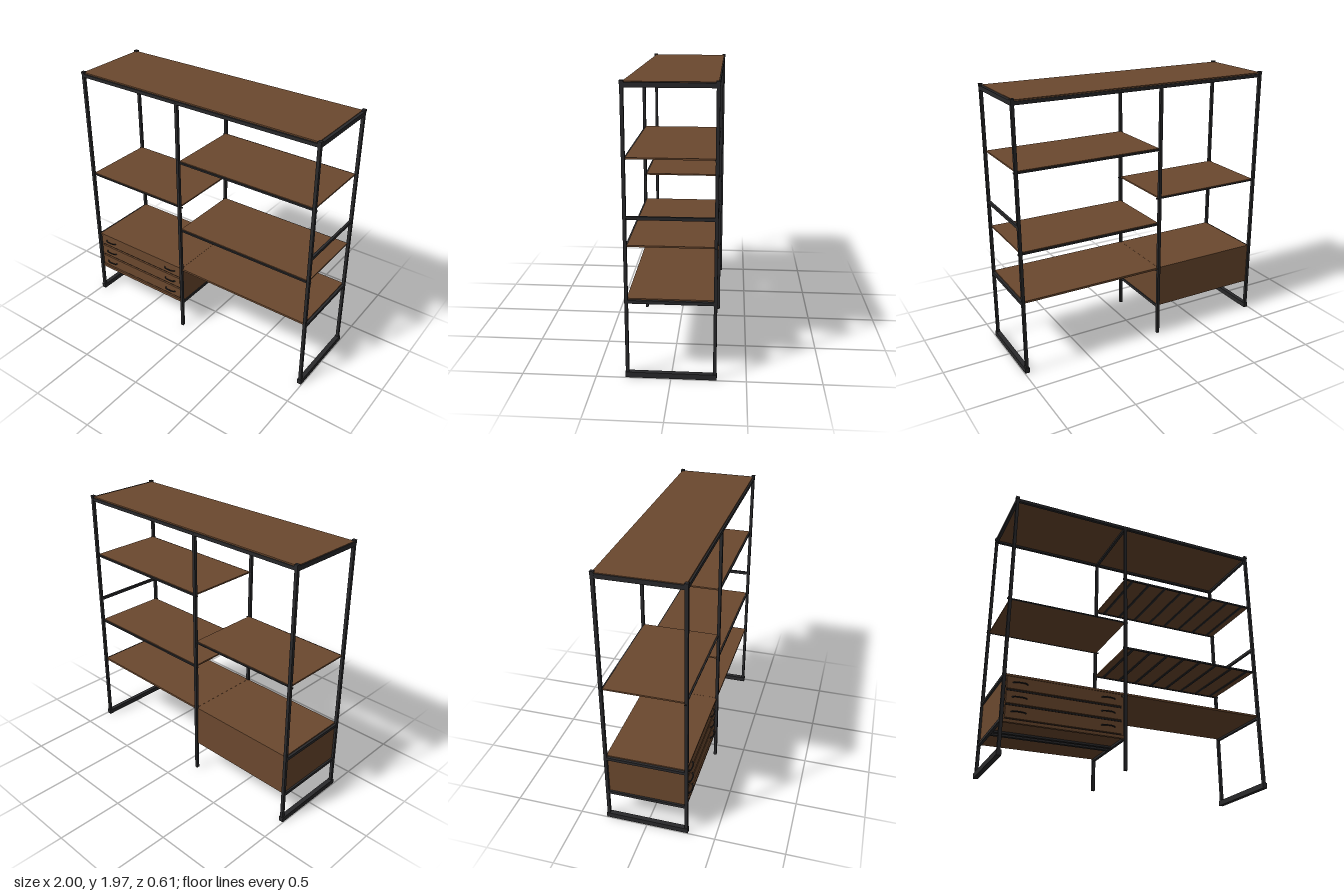
import * as THREE from 'three';

export function createModel() {
  const wood = new THREE.MeshStandardMaterial({ color: 0x6b482e });
  wood.name = 'walnut wood';
  const metal = new THREE.MeshStandardMaterial({ color: 0x29292b });
  metal.name = 'black metal';

  const root = new THREE.Group();
  root.name = 'shelvingUnit';

  function group(name) {
    const g = new THREE.Group();
    g.name = name;
    root.add(g);
    return g;
  }
  // box given by its minimum and maximum on each axis
  function box(parent, name, mat, [x0, x1], [y0, y1], [z0, z1]) {
    const m = new THREE.Mesh(new THREE.BoxGeometry(x1 - x0, y1 - y0, z1 - z0), mat);
    m.position.set((x0 + x1) / 2, (y0 + y1) / 2, (z0 + z1) / 2);
    m.name = name;
    parent.add(m);
    return m;
  }
  const around = (c, w) => [c - w / 2, c + w / 2];

  const END = 0.98, MID = -0.115, Z = 0.29, T = 0.022;

  // end frames: two posts, a floor bar with blocks, a top rail
  for (const s of [-1, 1]) {
    const g = group(s > 0 ? 'leftEndFrame' : 'rightEndFrame');
    const x = s * END;
    for (const z of [-Z, Z]) {
      box(g, 'post', metal, around(x, T), [0, 1.95], around(z, T));
      box(g, 'postCap', metal, around(x, 0.026), [1.945, 1.968], around(z, 0.026));
    }
    box(g, 'footBar', metal, around(x, 0.034), [0, 0.038], [-0.304, 0.304]);
    box(g, 'topCrossRail', metal, around(x, T), [1.925, 1.956], [-Z, Z]);
    box(g, 'sideRail', metal, around(x, 0.02), [0.53, 0.552], [-Z, Z]);
  }
  box(root.getObjectByName('leftEndFrame'), 'braceRail', metal,
    around(END, 0.018), [1.098, 1.12], [-Z, Z]);
  box(root.getObjectByName('rightEndFrame'), 'cabinetRail', metal,
    around(-END, 0.02), [0.225, 0.247], [-Z, Z]);

  // middle frame, without a floor bar
  const middle = group('middleFrame');
  for (const z of [-Z, Z]) box(middle, 'post', metal, around(MID, T), [0.005, 1.94], around(z, T));
  for (const y of [0.236, 0.54, 1.938])
    box(middle, 'crossRail', metal, around(MID, 0.02), around(y, 0.022), [-Z, Z]);

  // top board on long rails
  const top = group('top');
  for (const z of [-Z, Z]) box(top, 'longRail', metal, [-END, END], [1.927, 1.951], around(z, 0.02));
  box(top, 'topBoard', wood, [-0.985, 0.97], [1.943, 1.96], [-0.293, 0.288]);

  // shelves: thin board, edge rods, optional ribs underneath
  function shelf(name, x0, x1, y, ribs) {
    const g = group(name);
    const h = ribs ? 0.012 : 0.007;
    box(g, 'board', wood, [x0 + 0.02, x1 - 0.02], [y - 0.006, y + 0.005], [-0.279, 0.279]);
    for (const z of [-0.284, 0.284]) {
      box(g, 'edgeRod', metal, [x0, x1], [y - h, y], around(z, 0.012));
    }
    for (let i = 0; i < ribs; i++) {
      const x = x0 + 0.08 + i * (x1 - x0 - 0.16) / (ribs - 1);
      box(g, 'rib', metal, around(x, 0.018), [y - 0.011, y - 0.005], [-0.28, 0.28]);
    }
  }
  shelf('lowerShelf', -0.13, 0.995, 0.92, 8);
  shelf('upperShelf', -0.13, 0.995, 1.49, 8);
  shelf('sideShelf', -0.998, -0.092, 1.12, 0);

  // desk board level with the cabinet top
  box(root, 'deskBoard', wood, [MID, 0.972], [0.545, 0.56], [-0.288, 0.288]);

  // drawer cabinet
  const cabinet = group('drawerCabinet');
  const X = [-0.97, -0.126];
  box(cabinet, 'cabinetTop', wood, [-0.972, MID - 0.001], [0.545, 0.56], [-0.288, 0.288]);
  box(cabinet, 'backPanel', wood, X, [0.24, 0.546], [-0.288, -0.274]);
  box(cabinet, 'bottomPanel', wood, X, [0.24, 0.254], [-0.275, 0.275]);
  box(cabinet, 'frontRail', wood, X, [0.228, 0.25], [0.265, 0.288]);
  box(cabinet, 'outerSide', wood, [-0.976, -0.958], [0.245, 0.546], [-0.275, 0.278]);
  box(cabinet, 'innerSide', wood, [-0.138, -0.112], [0.245, 0.532], [-0.278, 0.278]);
  for (const z of [-0.01, 0.05])
    box(cabinet, 'supportRail', metal, X, [0.226, 0.241], around(z, 0.025));

  // drawers with two arched handles each
  const arch = new THREE.CatmullRomCurve3([
    [-0.05, 0], [-0.035, 0.016], [0, 0.02], [0.035, 0.016], [0.05, 0],
  ].map(([x, z]) => new THREE.Vector3(x, 0, z)));
  const handleGeo = new THREE.TubeGeometry(arch, 16, 0.005, 6);
  [0.303, 0.404, 0.505].forEach((y) => {
    box(cabinet, 'drawerFront', wood, [-0.955, -0.142], around(y, 0.086), [0.255, 0.283]);
    box(cabinet, 'drawerGap', metal, [-0.958, -0.138], around(y - 0.049, 0.008), [0.25, 0.274]);
    for (const x of [-0.865, -0.24]) {
      const handle = new THREE.Mesh(handleGeo, metal);
      handle.name = 'drawerHandle';
      handle.position.set(x, y, 0.28);
      cabinet.add(handle);
    }
  });

  return root;
}
